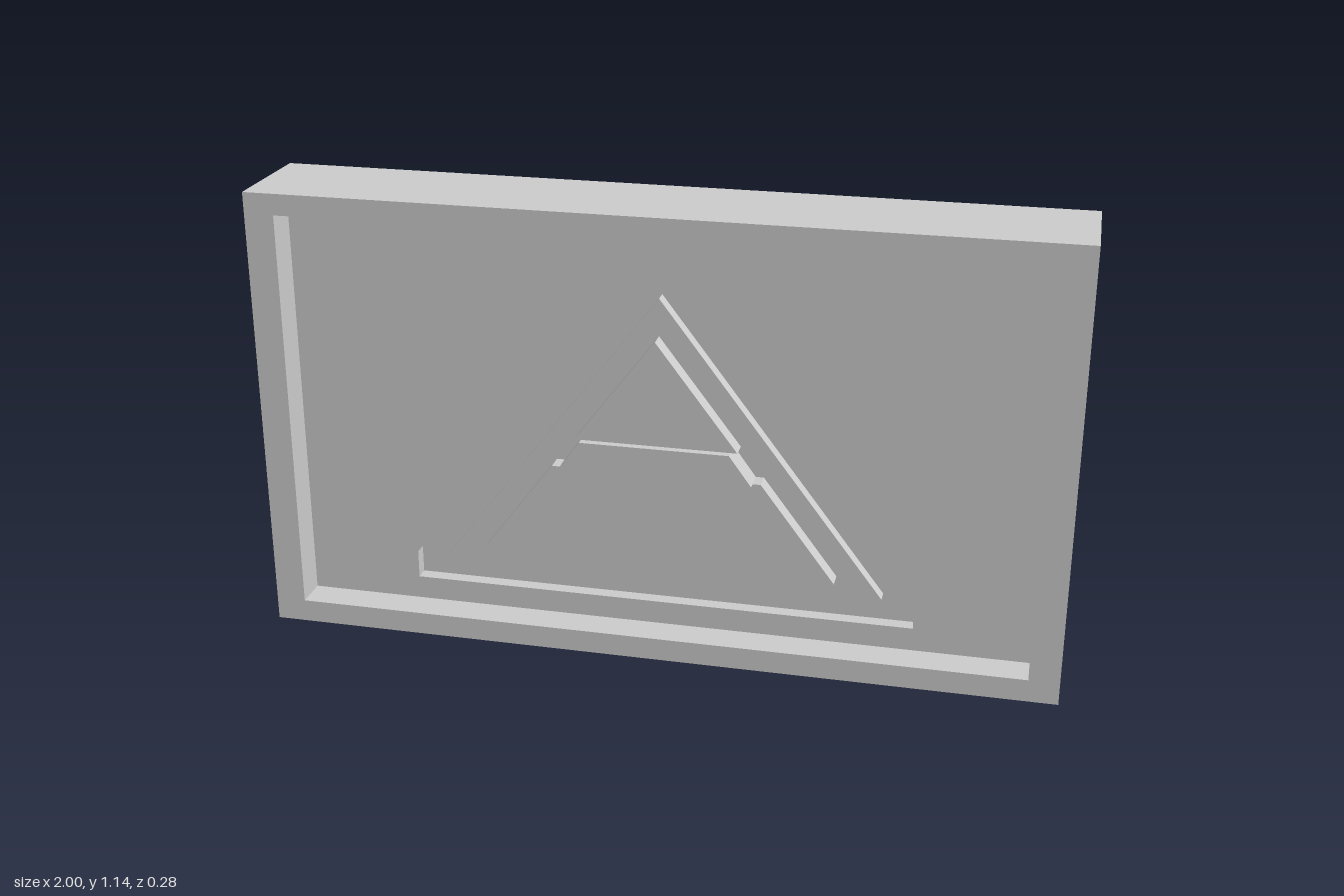
import * as THREE from 'three';

const W = 1, H = 1.143;
// depth levels, back to front
const Z = { back: -0.142, groove: 0.022, panel: 0.057, relief: 0.102, band: 0.121, front: 0.142 };

// outline symmetric in x, from its right-hand points listed bottom to top
function mirrored(points, Type = THREE.Shape) {
  const right = points.map(([x, y]) => new THREE.Vector2(x, y));
  const left = points.filter(([x]) => x > 0).reverse().map(([x, y]) => new THREE.Vector2(-x, y));
  return new Type([...right, ...left]);
}

export function createModel() {
  const group = new THREE.Group();
  const material = new THREE.MeshStandardMaterial({ color: 0xcccccc, flatShading: true });

  // flat layer between two depths, with an optional opening
  function layer(name, outline, z0, z1, hole) {
    const shape = mirrored(outline);
    if (hole) shape.holes.push(mirrored(hole, THREE.Path));
    const geometry = new THREE.ExtrudeGeometry(shape, { depth: z1 - z0, bevelEnabled: false });
    geometry.translate(0, 0, z0);
    const mesh = new THREE.Mesh(geometry, material);
    mesh.name = name;
    group.add(mesh);
  }

  const block = [[W, 0], [W, H]];
  const opening = [[0.925, 0.058], [0.925, 1.09]];
  const groove = [[0.638, 0.118], [0.638, 0.19], [0, 1.013]];

  // block: solid back, panel pierced by the groove, raised border
  layer('backSlab', block, Z.back, Z.groove);
  layer('recessedPanel', block, Z.groove, Z.panel, groove);
  layer('borderFrame', block, Z.panel, Z.front, opening);

  // triangle relief standing in the groove
  layer('triangleBase', [[0.558, 0.188], [0, 0.922]], Z.groove, Z.panel);
  layer('lowerTrapezoid', [[0.445, 0.24], [0.26, 0.486]], Z.panel, Z.relief);
  layer('middleBand', [[0.24, 0.486], [0.185, 0.562]], Z.panel, Z.band);
  layer('upperTriangle', [[0.202, 0.562], [0, 0.828]], Z.panel, Z.relief);

  return group;
}
